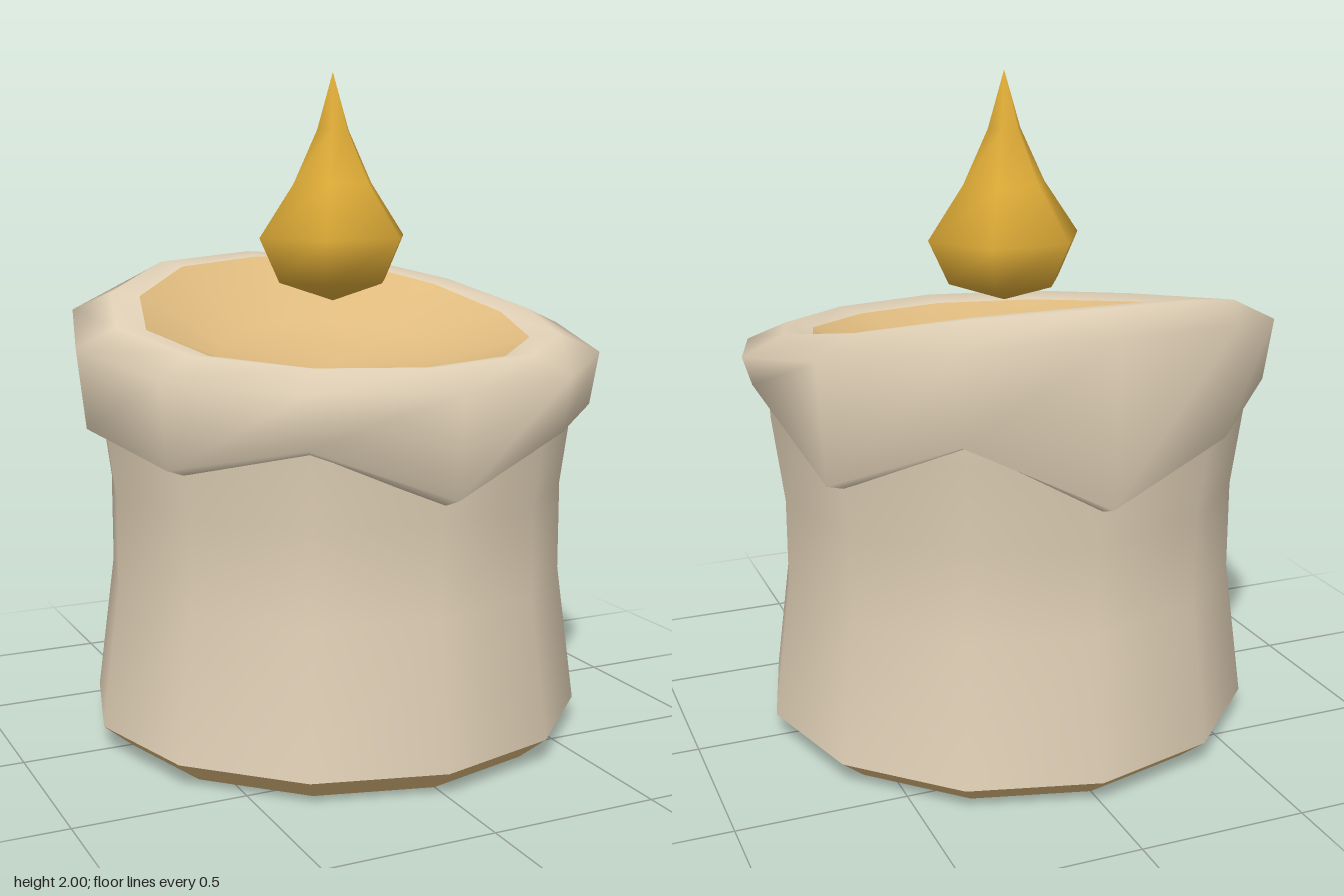
import * as THREE from 'three';
import { mergeVertices } from 'three/addons/utils/BufferGeometryUtils.js';

const makeMaterial = (name, color) => {
  const m = new THREE.MeshStandardMaterial({ color });
  m.name = name;
  return m;
};

// Lofts rings of [radius, height]; height may be a function of the side index.
// Sides run from the front (+z) towards +x.
function loft(rings, sides, turn = 0) {
  const pos = [], index = [];
  rings.forEach(([r, y]) => {
    for (let i = 0; i < sides; i++) {
      const a = turn + (i / sides) * Math.PI * 2;
      pos.push(r * Math.sin(a), typeof y === 'function' ? y(i) : y, r * Math.cos(a));
    }
  });
  for (let k = 0; k < rings.length - 1; k++) {
    for (let i = 0; i < sides; i++) {
      const j = (i + 1) % sides, lo = k * sides, hi = lo + sides;
      index.push(lo + i, lo + j, hi + j, lo + i, hi + j, hi + i);
    }
  }
  let g = new THREE.BufferGeometry();
  g.setAttribute('position', new THREE.Float32BufferAttribute(pos, 3));
  g.setIndex(index);
  g = mergeVertices(g, 1e-4); // welds the tips into single points
  g.computeVertexNormals();
  return g;
}

export function createModel() {
  const group = new THREE.Group();
  const cream = makeMaterial('creamWax', 0xe0d0b6);
  const tan = makeMaterial('tanWax', 0xdeba7e);
  const gold = makeMaterial('goldFlame', 0xdba936);
  const add = (name, geometry, material) => {
    const mesh = new THREE.Mesh(geometry, material);
    mesh.name = name;
    group.add(mesh);
    return mesh;
  };
  const SIDES = 12;

  // Rim height climbs from front to back, the same on both sides
  const rimHeights = [1.195, 1.2, 1.22, 1.265, 1.335, 1.405, 1.425];
  const rim = (drop) => (i) => rimHeights[Math.min(i, SIDES - i)] - drop;
  // Ragged lower edge of the melted wax, one height per side
  const dripHeights = [0.82, 0.96, 0.98, 1.1, 0.9, 1.06, 0.87, 1.0, 1.07, 0.95, 0.89, 0.97];
  const drip = (lift) => (i) => dripHeights[i] + lift;

  // Waisted candle body
  add('candleBody', loft([
    [0.755, 0.07], [0.70, 0.49], [0.70, 0.76], [0.735, 1.02], [0.74, 1.13],
  ], SIDES), cream);

  // Bevelled base and its flat underside
  add('baseBevel', loft([[0.67, 0], [0.755, 0.07]], SIDES), tan);
  add('baseUnderside', new THREE.CircleGeometry(0.67, SIDES).rotateX(Math.PI / 2), tan);

  // Collar of melted wax with drips
  add('meltedCollar', loft([
    [0.715, drip(0)], [0.785, drip(0.025)], [0.812, rim(0.055)],
    [0.69, rim(0)], [0.6, rim(0.012)],
  ], SIDES), cream);

  // Hollow wax pool inside the rim
  add('waxPool', loft([
    [0.6, rim(0.012)], [0.36, (i) => 1.15 + (rim(0)(i) - 1.265) * 0.4], [0, 1.11],
  ], SIDES), tan);

  // Floating six-sided flame
  add('flame', loft([
    [0, 1.315], [0.178, 1.375], [0.242, 1.51], [0.13, 1.67], [0.052, 1.83], [0, 2],
  ], 6, Math.PI / 6), gold);

  return group;
}
